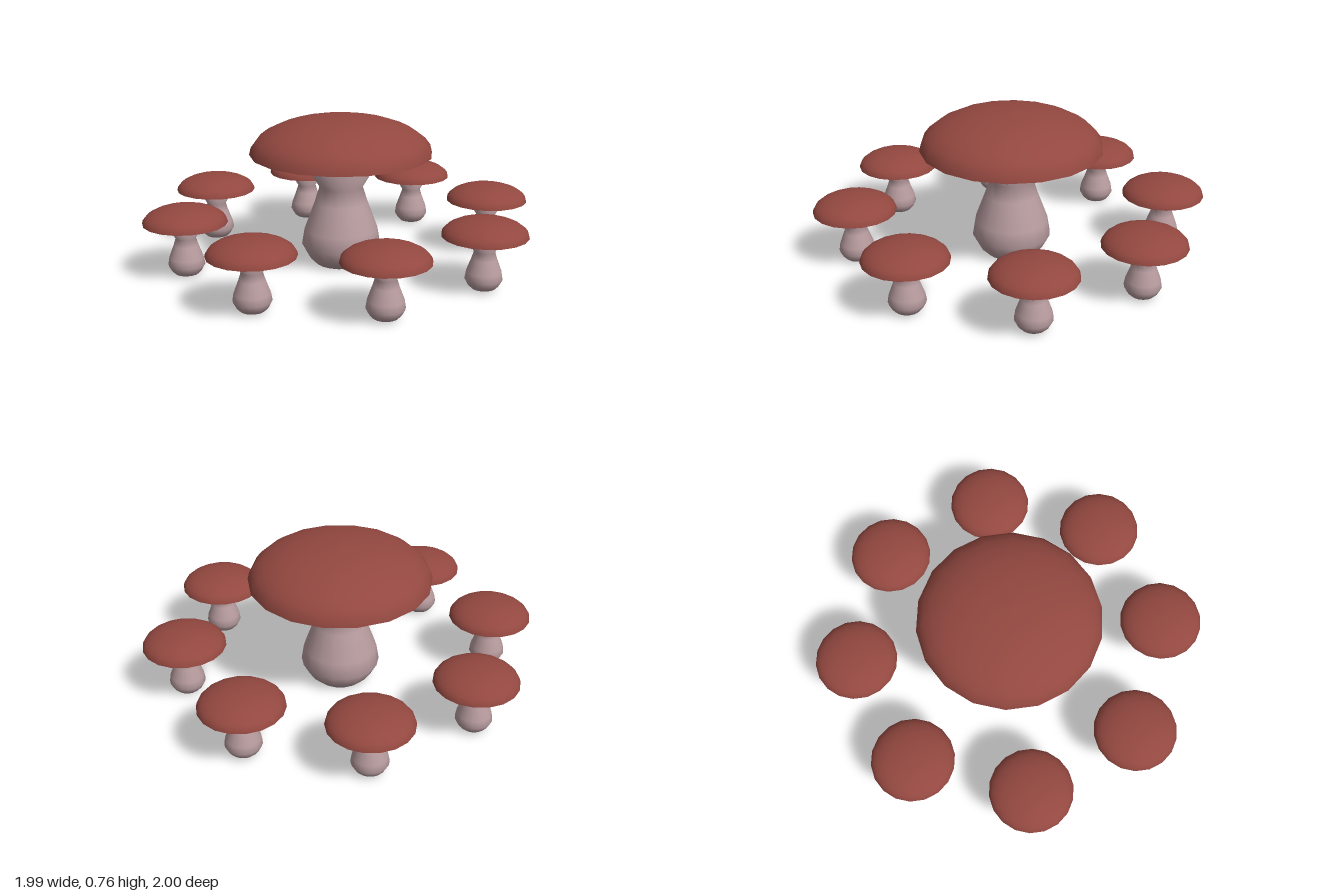
import * as THREE from 'three';

const SIDES = 18;
const capMaterial = new THREE.MeshStandardMaterial({ color: 0x934840 });
const stemMaterial = new THREE.MeshStandardMaterial({ color: 0xb89c9f });

const CAP_RADIUS = 0.46, CAP_BASE = 0.572, CAP_HEIGHT = 0.188;
const GILL_RADIUS = 0.43, GILL_Y = 0.582;

const lathe = (points) =>
  new THREE.LatheGeometry(points.map(([r, y]) => new THREE.Vector2(r, y)), SIDES);

// Bulbous stem with a pinched neck and a collar below the cap
const stemGeometry = lathe([
  [0, 0], [0.13, 0], [0.165, 0.035], [0.2, 0.1], [0.187, 0.18],
  [0.135, 0.32], [0.11, 0.4], [0.163, 0.487], [0.108, GILL_Y],
]);

// Flattened dome, a quarter ellipse spun round the axis
const domePoints = [];
for (let i = 0; i <= 8; i++) {
  const a = (i / 8) * Math.PI / 2;
  domePoints.push([i === 8 ? 0 : CAP_RADIUS * Math.cos(a), CAP_BASE + CAP_HEIGHT * Math.sin(a)]);
}
const domeGeometry = lathe(domePoints);

// Narrow lip turning in from the cap edge to the gills
const lipGeometry = lathe([[GILL_RADIUS, GILL_Y], [CAP_RADIUS, CAP_BASE]]);

const gillGeometry = new THREE.CircleGeometry(GILL_RADIUS, SIDES, Math.PI / 2);
gillGeometry.rotateX(Math.PI / 2).translate(0, GILL_Y, 0);

function createMushroom(name) {
  const mushroom = new THREE.Group();
  mushroom.name = name;
  const add = (partName, geometry, material) => {
    const mesh = new THREE.Mesh(geometry, material);
    mesh.name = partName;
    mushroom.add(mesh);
  };
  add('stem', stemGeometry, stemMaterial);
  add('capDome', domeGeometry, capMaterial);
  add('capLip', lipGeometry, capMaterial);
  add('gills', gillGeometry, stemMaterial);
  return mushroom;
}

export function createModel() {
  const model = new THREE.Group();
  model.name = 'mushroomTableAndStools';
  model.add(createMushroom('tableMushroom'));

  // Ring of eight small mushrooms
  for (let i = 0; i < 8; i++) {
    const angle = (i / 8) * Math.PI * 2;
    const stool = createMushroom('stoolMushroom' + (i + 1));
    stool.scale.setScalar(0.455);
    stool.position.set(0.791 * Math.sin(angle), 0.01, 0.791 * Math.cos(angle));
    model.add(stool);
  }
  return model;
}
